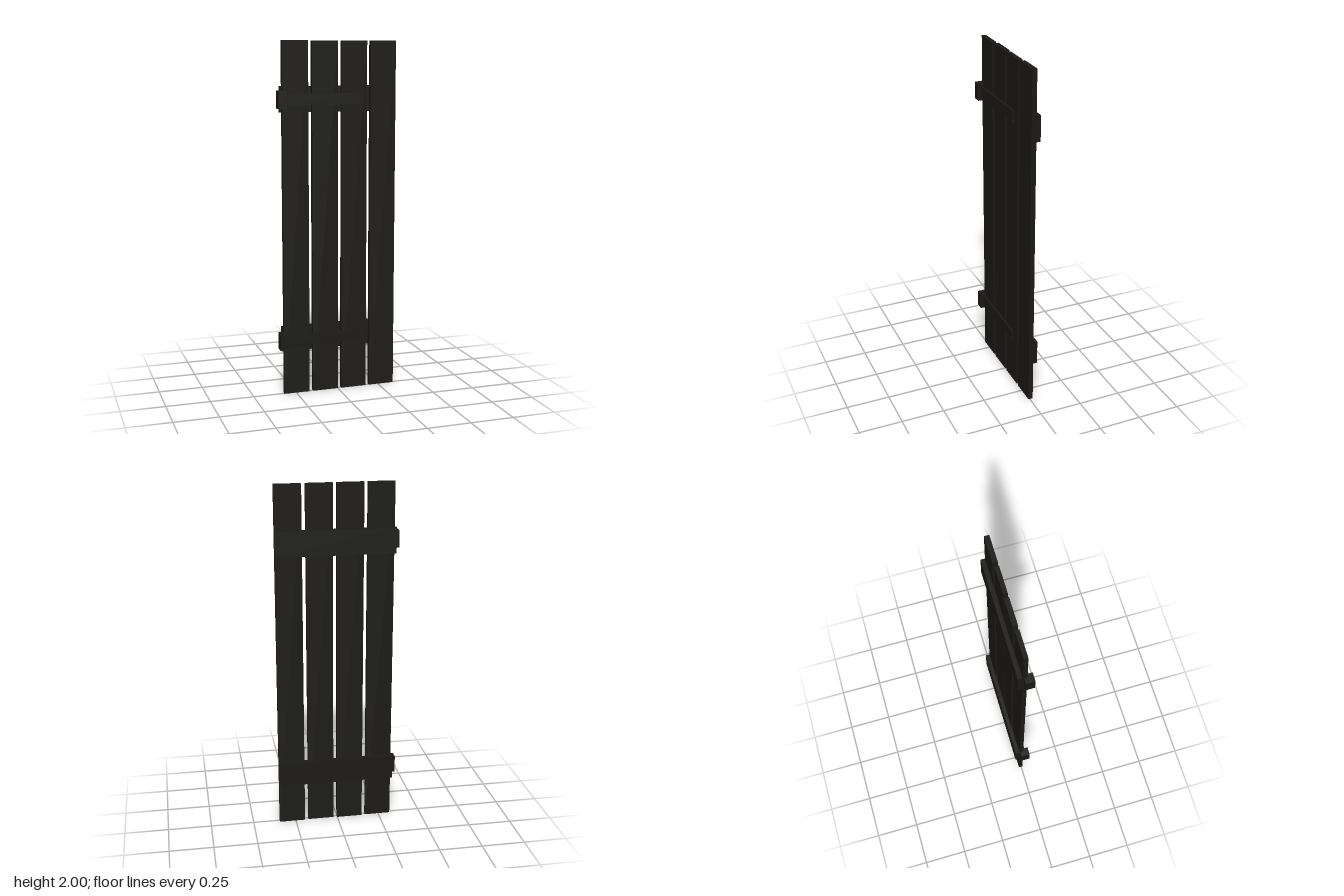
import * as THREE from 'three';

const dark = new THREE.MeshStandardMaterial({ color: 0x1b1a15 });

// Box given by its minimum and maximum corners
function slab(name, [x0, y0, z0], [x1, y1, z1]) {
  const mesh = new THREE.Mesh(new THREE.BoxGeometry(x1 - x0, y1 - y0, z1 - z0), dark);
  mesh.position.set((x0 + x1) / 2, (y0 + y1) / 2, (z0 + z1) / 2);
  mesh.name = name;
  return mesh;
}

export function createModel() {
  const shutter = new THREE.Group();
  shutter.name = 'shutter';

  // Four upright planks; every second one is slightly thicker at the back
  for (let i = 0; i < 4; i++) {
    const x = -0.32 + i * 0.1717;
    const back = i % 2 ? -0.019 : -0.015;
    shutter.add(slab('plank' + (i + 1), [x, 0, back], [x + 0.15, 2, 0.008]));
  }

  // Back batten, front hinge strap and hinge block, near the bottom and the top
  for (const [level, y] of [['lower', 0.317], ['upper', 1.68]]) {
    shutter.add(
      slab(level + 'Batten', [-0.326, y - 0.072, -0.042], [0.348, y + 0.072, -0.018]),
      slab(level + 'HingeStrap', [-0.302, y - 0.032, 0.009], [0.128, y + 0.032, 0.022]),
      slab(level + 'HingeBlock', [-0.349, y - 0.049, -0.009], [-0.301, y + 0.049, 0.041])
    );
  }
  return shutter;
}
